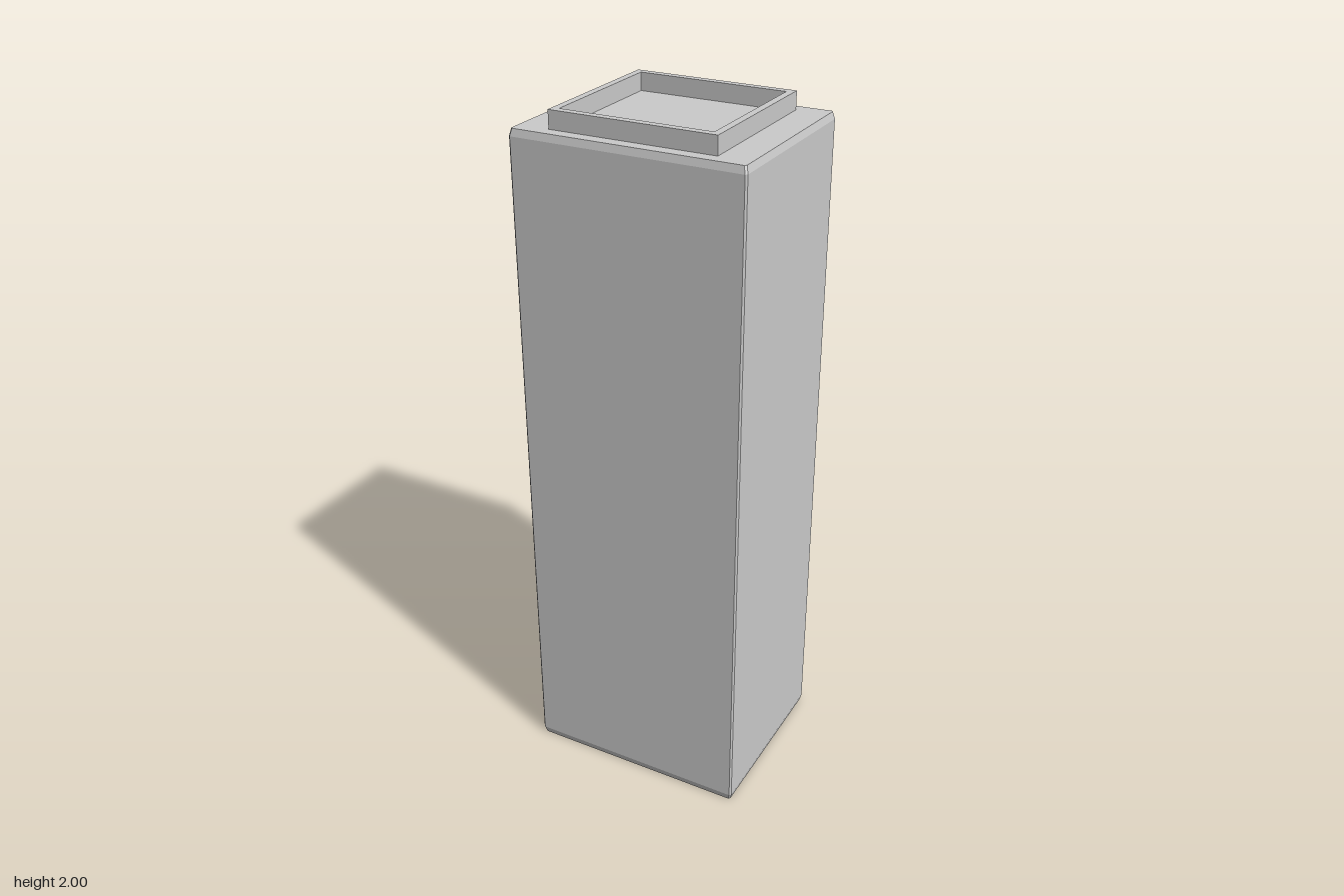
import * as THREE from 'three';

const W = 0.331, D = 0.2675, H = 1.95; // half width, half depth, roof height
const BEVEL = 0.005, EDGE = 0.02, RECESS = 0.012;

const rect = (Type, x, y, hw, hh) => new Type([[-1, -1], [1, -1], [1, 1], [-1, 1]]
  .map(([a, b]) => new THREE.Vector2(x + a * hw, y + b * hh)));

// Eight-sided footprint with clipped corners
function ring(w, d, c, y) {
  return [[w, d - c], [w - c, d], [c - w, d], [-w, d - c], [-w, c - d], [c - w, -d], [w - c, -d], [w, c - d]]
    .map(([x, z]) => [x, y, z]);
}

// Bevelled tower, left open where the window wall fits
function towerGeometry() {
  const rings = [
    ring(W - BEVEL, D - BEVEL, BEVEL, 0),
    ring(W, D, BEVEL, EDGE),
    ring(W, D, BEVEL, H - EDGE),
    ring(W - BEVEL, D - BEVEL, BEVEL, H),
  ];
  const pos = [];
  const tri = (...p) => p.forEach((v) => pos.push(...v));
  for (let r = 0; r < 3; r++) {
    for (let i = 0; i < 8; i++) {
      if (r === 1 && i === 3) continue;
      const j = (i + 1) % 8, lo = rings[r], hi = rings[r + 1];
      tri(lo[j], lo[i], hi[i]);
      tri(lo[j], hi[i], hi[j]);
    }
  }
  for (let i = 1; i < 7; i++) {
    tri(rings[3][0], rings[3][i + 1], rings[3][i]);
    tri(rings[0][0], rings[0][i], rings[0][i + 1]);
  }
  const g = new THREE.BufferGeometry();
  g.setAttribute('position', new THREE.Float32BufferAttribute(pos, 3));
  g.computeVertexNormals();
  return g;
}

export function createModel() {
  const model = new THREE.Group();
  model.name = 'towerBlock';
  const grey = new THREE.MeshStandardMaterial({ color: 0xcccccc, flatShading: true });
  const blue = new THREE.MeshStandardMaterial({ color: 0x0a7a9e });
  const add = (name, geometry, material, parent = model) => {
    const mesh = new THREE.Mesh(geometry, material);
    mesh.name = name;
    parent.add(mesh);
    return mesh;
  };

  add('tower', towerGeometry(), grey);

  // Window wall on the -x side: four floors of four recessed windows
  const wall = rect(THREE.Shape, 0, H / 2, D - BEVEL, H / 2 - EDGE);
  const windows = new THREE.Group();
  windows.name = 'windows';
  model.add(windows);
  const pane = new THREE.BoxGeometry(0.01, 0.215, 0.065);
  for (let row = 0; row < 4; row++) {
    for (let col = 0; col < 4; col++) {
      const y = 0.338 + row * 0.425, z = (col - 1.5) * 0.121;
      wall.holes.push(rect(THREE.Path, z, y, 0.0325, 0.1075));
      add('windowPane', pane, blue, windows).position.set(-W + RECESS + 0.005, y, z);
    }
  }
  const wallGeometry = new THREE.ExtrudeGeometry(wall, { depth: RECESS, bevelEnabled: false });
  wallGeometry.rotateY(-Math.PI / 2);
  add('windowWall', wallGeometry, grey).position.x = -W + RECESS;

  // Raised rim on the roof
  const rim = rect(THREE.Shape, 0, 0, 0.2355, 0.2275);
  rim.holes.push(rect(THREE.Path, 0, 0, 0.215, 0.206));
  const rimGeometry = new THREE.ExtrudeGeometry(rim, { depth: 2 - H, bevelEnabled: false });
  rimGeometry.rotateX(-Math.PI / 2);
  add('roofRim', rimGeometry, grey).position.y = H;

  return model;
}
